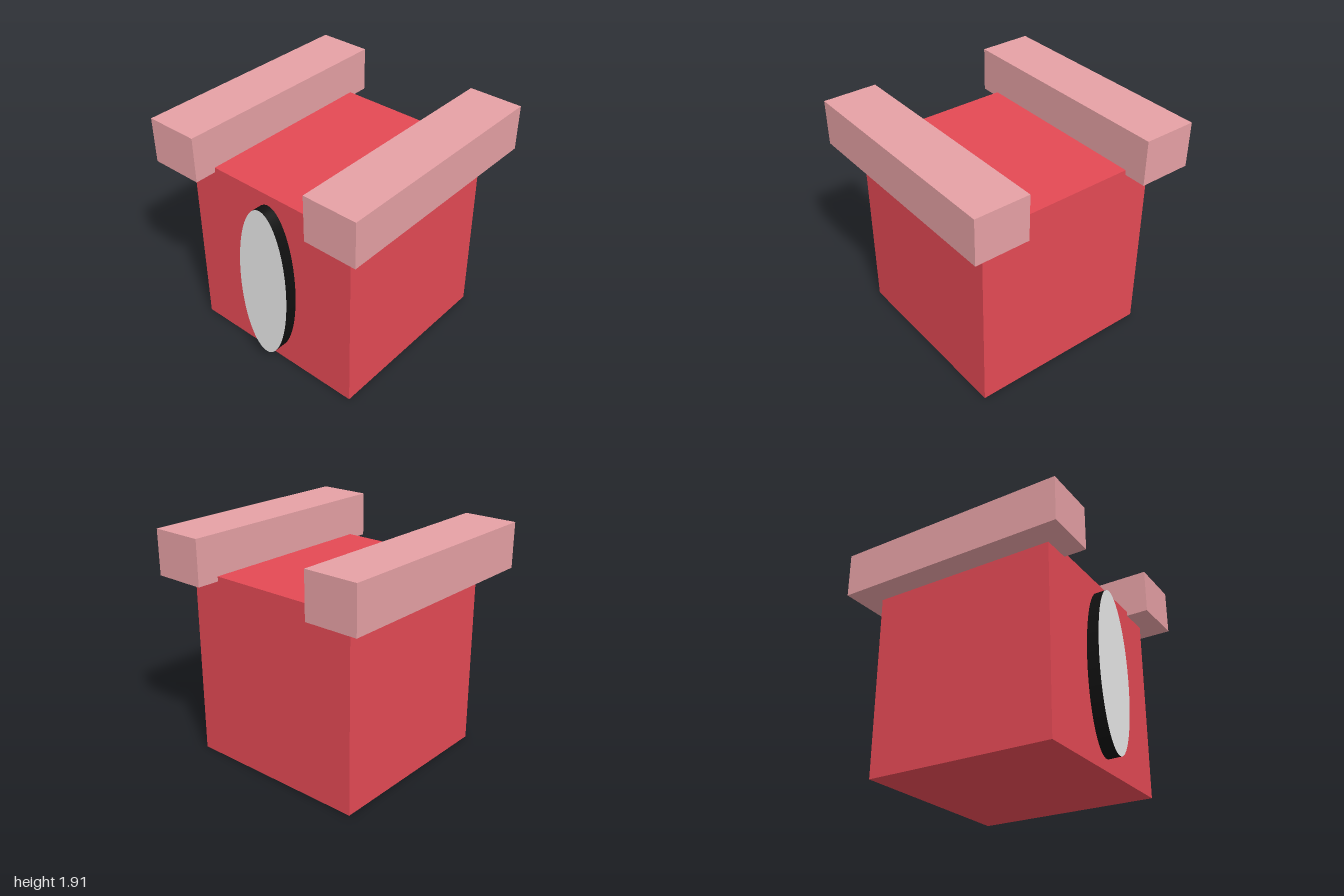
import * as THREE from 'three';

function material(name, color) {
  const m = new THREE.MeshStandardMaterial({ color });
  m.name = name;
  return m;
}

export function createModel() {
  const red = material('red', 0xe34954);
  const pink = material('pink', 0xe5a0a4);
  const pale = material('paleGrey', 0xe7e7e7);
  const black = material('black', 0x101010);

  const model = new THREE.Group();
  model.name = 'model';

  // Everything is turned very slightly about the vertical axis
  const turned = new THREE.Group();
  turned.name = 'turnedBlock';
  turned.rotation.y = -0.0128;
  model.add(turned);

  function add(name, geometry, mat, x, y, z) {
    const mesh = new THREE.Mesh(geometry, mat);
    mesh.name = name;
    mesh.position.set(x, y, z);
    turned.add(mesh);
    return mesh;
  }

  // Main cube
  add('body', new THREE.BoxGeometry(1.573, 1.575, 1.575), red, 0.008, 0.7875, 0.002);

  // Two long bars overlapping the upper side edges
  for (const [name, x] of [['leftBar', 0.763], ['rightBar', -0.765]]) {
    add(name, new THREE.BoxGeometry(0.45, 0.375, 1.95), pink, x, 1.7225, -0.001);
  }

  // Oval disc on the front: black rim, pale face, leaning back slightly
  const depth = 0.14;
  const oval = new THREE.CylinderGeometry(1, 1, depth, 96);
  oval.scale(0.245, 1, 0.693);
  const disc = add('frontOval', oval, [black, pale, black], 0.011, 0.79, 0.89 - depth / 2);
  disc.rotation.x = Math.PI / 2 - 0.0144;

  return model;
}
